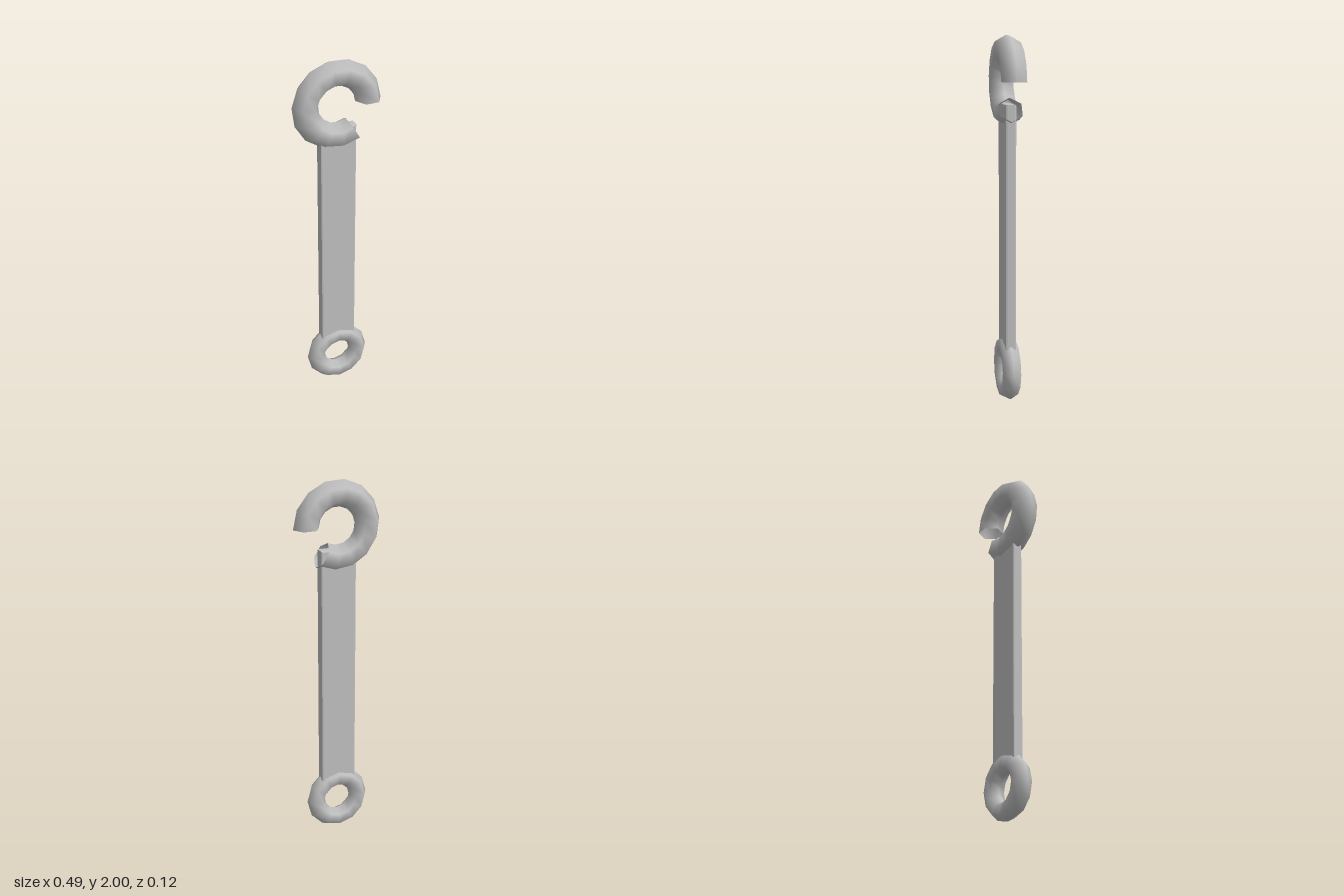
import * as THREE from 'three';

export function createModel() {
  const group = new THREE.Group();
  const metal = new THREE.MeshStandardMaterial({ color: 0xc0c0c0, side: THREE.DoubleSide });
  metal.name = 'light grey metal';

  const add = (name, geometry, y) => {
    const mesh = new THREE.Mesh(geometry, metal);
    mesh.name = name;
    mesh.position.y = y;
    group.add(mesh);
  };

  // Open hook: six-sided tube swept through 300 degrees, gap at lower right
  add('hook', new THREE.TorusGeometry(0.172, 0.071, 6, 12, Math.PI * 5 / 3), 1.761);

  // Closed eye at the foot
  add('eyeRing', new THREE.TorusGeometry(0.127, 0.053, 6, 12), 0.18);

  // Flat shank with slightly bevelled edges, its ends buried in both rings
  const halfWidth = 0.1, halfDepth = 0.029, bevel = 0.008;
  const bottom = 0.28, top = 1.64;
  const w = halfWidth - bevel, h = (top - bottom) / 2 - bevel;
  const outline = new THREE.Shape([
    new THREE.Vector2(-w, -h), new THREE.Vector2(w, -h),
    new THREE.Vector2(w, h), new THREE.Vector2(-w, h),
  ]);
  const depth = 2 * (halfDepth - bevel);
  const shank = new THREE.ExtrudeGeometry(outline, {
    depth, bevelEnabled: true, bevelSize: bevel, bevelThickness: bevel, bevelSegments: 2,
  });
  shank.translate(0, 0, -depth / 2);
  add('shank', shank, (top + bottom) / 2);

  return group;
}
